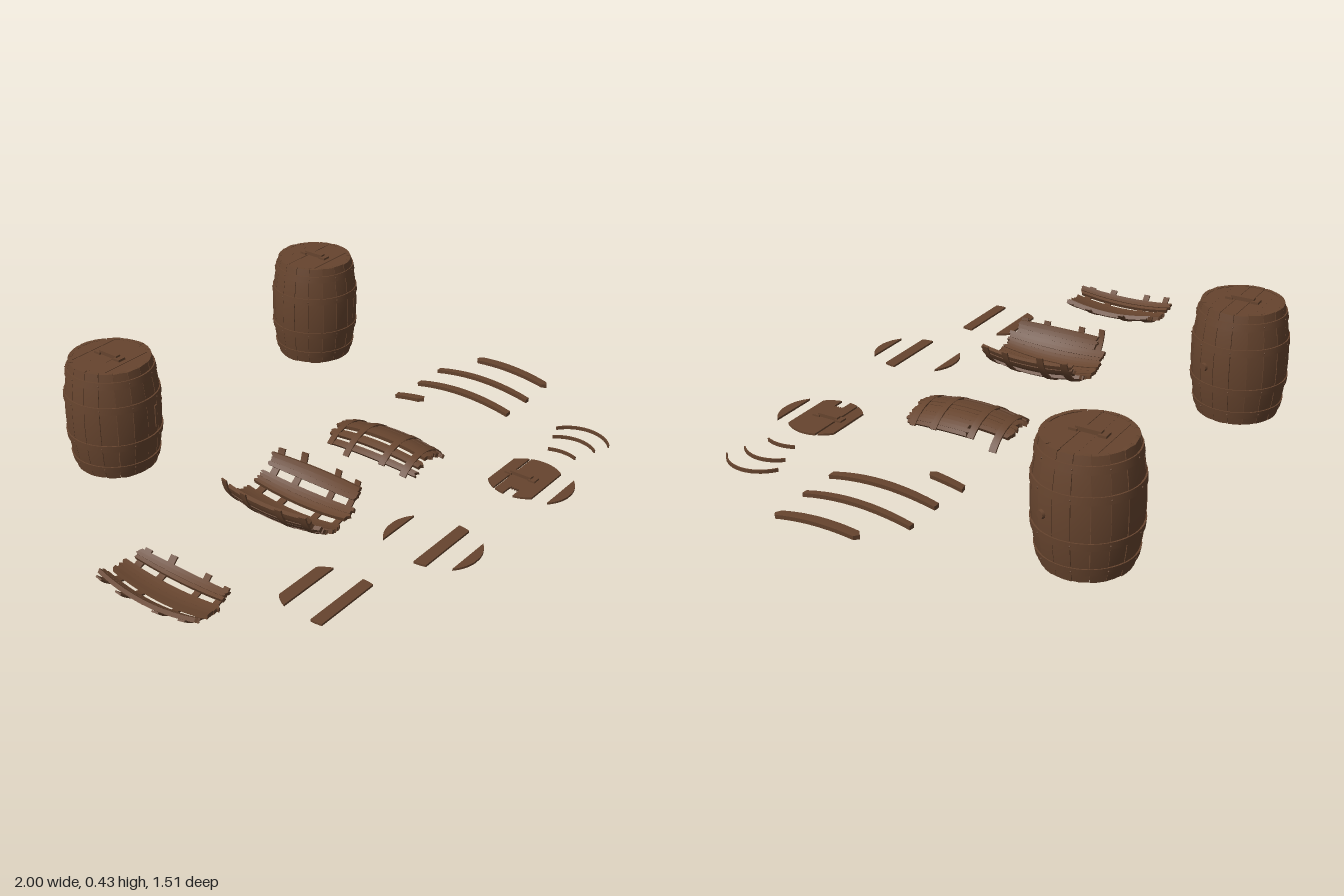
import * as THREE from 'three';
import { toCreasedNormals } from 'three/addons/utils/BufferGeometryUtils.js';

const wood = new THREE.MeshStandardMaterial({ color: 0x66442e });
wood.name = 'brown wood';

let seed = 7;
const rand = () => (seed = (seed * 16807) % 2147483647) / 2147483647;
const jitter = (s) => (rand() - 0.5) * 2 * s;
const rad = THREE.MathUtils.degToRad;

const H = 0.393; // barrel height
const bulge = (t) => 0.138 + 0.024 * (1 - (2 * t - 1) ** 2);
const HOOPS = [0.1, 0.32, 0.68, 0.9];

function add(parent, name, geo, x = 0, y = 0, z = 0) {
  const mesh = new THREE.Mesh(geo, wood);
  mesh.name = name;
  mesh.position.set(x, y, z);
  parent.add(mesh);
  return mesh;
}

// Curved solid around the y axis: angles a0..a1, heights y0..y1 (functions of the
// position u across the piece), radii from rIn(t) to rOut(t)
function shell(a0, a1, y0, y1, rIn, rOut, nA, nY) {
  const pos = [], idx = [], m = 2 * (nA + 1);
  for (let i = 0; i <= nY; i++) {
    for (let k = 0; k < m; k++) {
      const outer = k <= nA, j = outer ? k : m - 1 - k, u = j / nA;
      const a = a0 + (a1 - a0) * u;
      const y = THREE.MathUtils.lerp(y0(u), y1(u), i / nY);
      const r = (outer ? rOut : rIn)(y / H);
      pos.push(r * Math.sin(a), y, r * Math.cos(a));
    }
  }
  const quad = (a, b, c, d) => idx.push(a, b, c, a, c, d);
  for (let i = 0; i < nY; i++)
    for (let k = 0; k < m; k++) {
      const n = (k + 1) % m;
      quad(i * m + k, i * m + n, (i + 1) * m + n, (i + 1) * m + k);
    }
  const top = nY * m;
  for (let j = 0; j < nA; j++) {
    quad(top + j, top + j + 1, top + m - 2 - j, top + m - 1 - j);
    quad(m - 1 - j, m - 2 - j, j + 1, j);
  }
  const g = new THREE.BufferGeometry();
  g.setAttribute('position', new THREE.Float32BufferAttribute(pos, 3));
  g.setIndex(idx);
  return toCreasedNormals(g, 0.5);
}

// One stave; rough makes splintered ends
function stave(parent, a0, a1, t0 = 0, t1 = 1, rough = 0.002, lift = 0) {
  const e = [0, 1, 2, 3].map(() => jitter(rough));
  const lo = (u) => t0 * H + Math.abs(e[0] + (e[1] - e[0]) * u);
  const hi = (u) => t1 * H - Math.abs(e[2] + (e[3] - e[2]) * u);
  return add(parent, 'stave', shell(a0, a1, lo, hi,
    (t) => bulge(t) - 0.014 + lift, (t) => bulge(t) + lift, 2, 10));
}

function hoop(parent, t, a0 = 0, a1 = Math.PI * 2) {
  const n = Math.max(4, Math.round((a1 - a0) * 7));
  add(parent, 'hoop', shell(a0, a1, () => t * H - 0.012, () => t * H + 0.012,
    (s) => bulge(s) - 0.002, (s) => bulge(s) + 0.004, n, 1));
}

// Board cut from a round lid: the strip z0..z1 of a disc, optionally broken off at minX
function board(parent, x, y, z, z0, z1, R = 0.126, thick = 0.007, minX = -1) {
  const pts = [], n = 8;
  const half = (v) => Math.sqrt(Math.max(0, R * R - v * v));
  for (let i = 0; i <= n; i++) {
    const v = z0 + ((z1 - z0) * i) / n;
    pts.push(new THREE.Vector2(half(v), v));
  }
  for (let i = n; i >= 0; i--) {
    const v = z0 + ((z1 - z0) * i) / n;
    pts.push(new THREE.Vector2(Math.max(-half(v), minX + (i % 2) * 0.008), v));
  }
  const g = new THREE.ExtrudeGeometry(new THREE.Shape(pts), { depth: thick, bevelEnabled: false });
  add(parent, 'lidBoard', g.rotateX(Math.PI / 2), x, y, z);
}

// Grip on a lid: a raised bar with two broader ends
function handle(parent, x, y, z) {
  add(parent, 'handleBar', new THREE.BoxGeometry(0.018, 0.013, 0.08), x, y + 0.0075, z);
  for (const s of [-1, 1])
    add(parent, 'handleEnd', new THREE.BoxGeometry(0.03, 0.008, 0.026), x, y + 0.004, z + s * 0.045);
}

function barrel(x, z) {
  const g = new THREE.Group();
  g.name = 'barrel';
  const N = 18, step = (Math.PI * 2) / N;
  for (let i = 0; i < N; i++)
    stave(g, i * step + 0.006, (i + 1) * step - 0.006, 0, 1, 0.003, jitter(0.001));
  HOOPS.forEach((t) => {
    hoop(g, t);
    // nails along the hoop
    for (let i = 0; i < 9; i++) {
      const a = ((i + 0.5) * Math.PI * 2) / 9, r = bulge(t) + 0.004;
      add(g, 'nail', new THREE.SphereGeometry(0.003, 6, 4), r * Math.sin(a), t * H, r * Math.cos(a));
    }
  });
  // lid of five boards, and the base
  for (let i = 0; i < 5; i++)
    board(g, 0, 0.391 + jitter(0.001), 0, -0.127 + i * 0.0508, -0.127 + (i + 1) * 0.0508 - 0.001, 0.127, 0.01);
  handle(g, 0, 0.391, 0);
  add(g, 'base', new THREE.CylinderGeometry(0.127, 0.127, 0.01, 32), 0, 0.008, 0);
  // bung on the side
  const bung = add(g, 'bung', new THREE.CylinderGeometry(0.013, 0.015, 0.016, 12), 0.15, 0.195, 0.063);
  bung.rotation.set(0, -Math.atan2(0.063, 0.15), -Math.PI / 2);
  // narrow batten at the front
  add(g, 'batten', new THREE.BoxGeometry(0.014, 0.08, 0.006), 0.045, 0.2, 0.154).rotation.y = 0.28;
  g.position.set(x, 0.02, z);
  return g;
}

// Part of a smashed barrel lying on its side; staves are [from, to, start, end] in degrees and lengths
function wreck(x, y, arch, staves, hoopFrom, hoopTo) {
  const g = new THREE.Group();
  g.name = 'brokenBarrel';
  for (const [a, b, t0 = 0, t1 = 1] of staves) {
    const n = Math.max(1, Math.round((b - a) / 6));
    for (let i = 0; i < n; i++)
      stave(g, rad(a + ((b - a) * i) / n), rad(a + ((b - a) * (i + 1)) / n), t0, t1, 0.014, jitter(0.003));
  }
  HOOPS.forEach((t) => hoop(g, t, rad(hoopFrom + jitter(5)), rad(hoopTo + jitter(5))));
  g.rotation.x = arch ? -Math.PI / 2 : Math.PI / 2;
  g.position.set(x, y, arch ? 0.31 : -0.083);
  return g;
}

// Single stave lying on the ground, bowed upward
function looseStave(x, z, width, t0, t1) {
  const g = new THREE.Group();
  g.name = 'looseStave';
  const a = width / 2 / 0.162;
  stave(g, -a, a, t0, t1, t1 - t0 < 0.9 ? 0.025 : 0.002);
  g.rotation.x = -Math.PI / 2;
  g.position.set(x, -0.103, z);
  return g;
}

export function createModel() {
  const model = new THREE.Group();
  model.name = 'barrelSet';

  // whole barrels
  model.add(barrel(-0.375, -0.59), barrel(0.715, -0.59));

  // smashed barrels
  model.add(wreck(-0.873, 0.194, false,
    [[-36, -21], [-11, 15], [24, 39, 0.04, 0.96]], -46, 47));
  model.add(wreck(-0.285, 0.186, false,
    [[-72, -52, 0.1, 0.95], [-52, -30], [-30, 4], [16, 38], [48, 68, 0.03, 0.97]], -80, 78));
  model.add(wreck(0.21, -0.061, true,
    [[-40, -31, 0, 0.95], [-26, -14], [-7, 12], [12, 30], [30, 45, 0, 0.65]], -45, 51));

  // loose staves
  model.add(looseStave(0.58, 0.3, 0.03, 0.68, 1.02), looseStave(0.71, 0.31, 0.03, 0, 1),
    looseStave(0.842, 0.31, 0.024, 0, 1), looseStave(0.983, 0.31, 0.034, 0, 0.79));

  // loose lid boards
  board(model, -0.575, 0.044, 0.462, -0.09, -0.046);
  board(model, -0.575, 0.044, 0.53, -0.01, 0.03);
  board(model, -0.155, 0.044, 0.535, -0.125, -0.094);
  board(model, -0.155, 0.044, 0.585, 0, 0.042);
  board(model, -0.155, 0.044, 0.608, 0.092, 0.125);

  // broken lid with grips on both faces
  board(model, 0.383, 0.02, 0.58, -0.096, -0.053);
  board(model, 0.383, 0.02, 0.58, -0.046, -0.01);
  board(model, 0.383, 0.02, 0.58, -0.01, 0.025, 0.126, 0.007, -0.085);
  board(model, 0.383, 0.02, 0.58, 0.025, 0.082);
  board(model, 0.383, 0.017, 0.625, 0.09, 0.125);
  handle(model, 0.383, 0.018, 0.565);
  const under = new THREE.Group();
  under.name = 'lowerHandle';
  handle(under, 0, 0, 0);
  under.rotation.z = Math.PI;
  under.position.set(0.383, 0.014, 0.565);
  model.add(under);

  // hoop fragments: [outermost x, radius, half angle]
  for (const [x, r, half] of [[0.617, 0.13, 25], [0.722, 0.122, 44], [0.806, 0.128, 56]])
    add(model, 'hoopFragment', shell(rad(90 - half), rad(90 + half), () => 0, () => 0.012,
      () => r - 0.005, () => r, 14, 1), x - r, 0.01, 0.592);

  return model;
}
